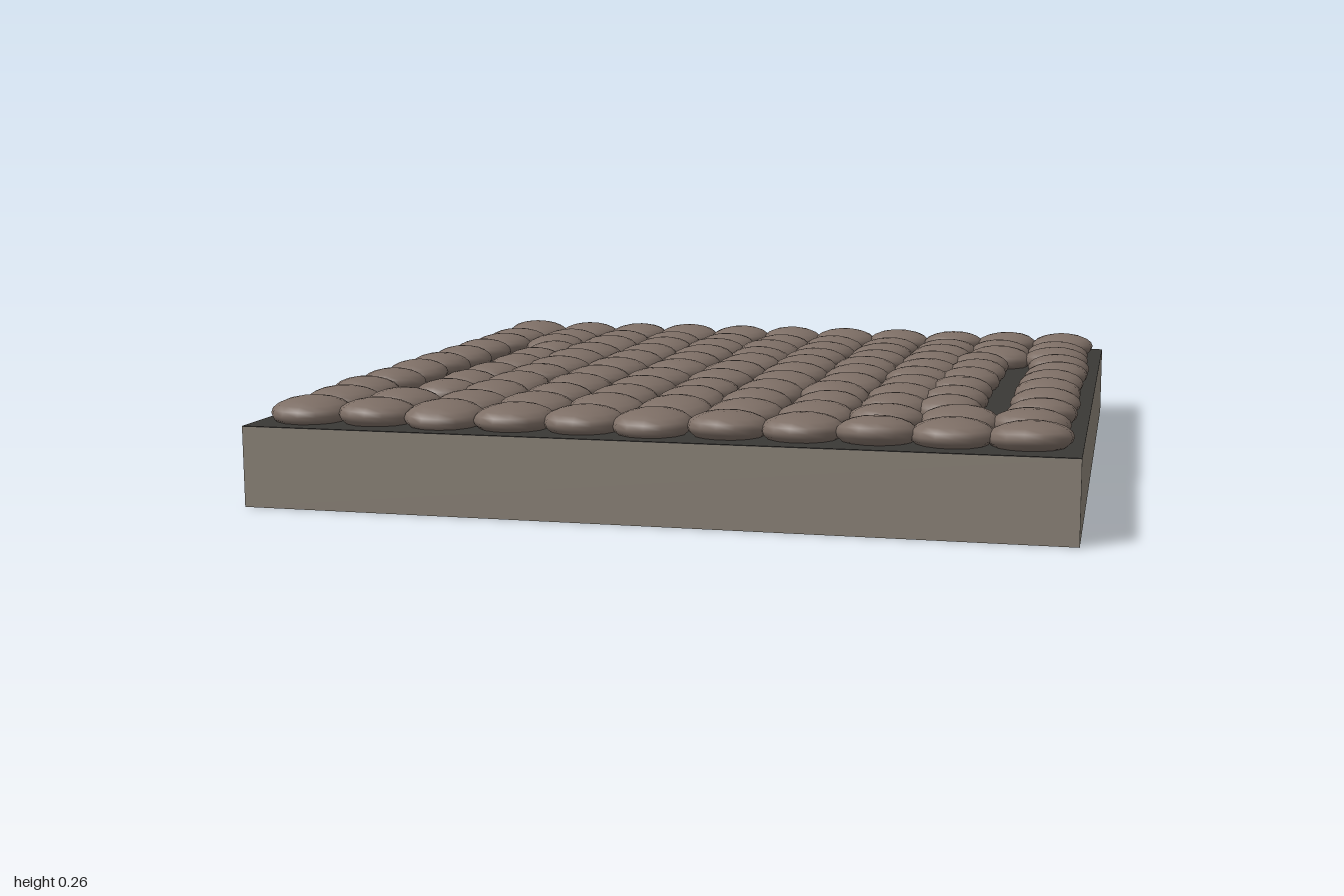
import * as THREE from 'three';

// Small seeded generator for the hand-laid irregularity
function seeded(seed) {
  return () => {
    seed = (seed * 16807) % 2147483647;
    return seed / 2147483647;
  };
}

export function createModel() {
  const model = new THREE.Group();
  model.name = 'cobblestoneTile';
  const random = seeded(41);
  const jitter = (amount) => (random() - 0.5) * 2 * amount;

  const slabMaterial = new THREE.MeshStandardMaterial({ color: 0x8b8378 });
  const mortarMaterial = new THREE.MeshStandardMaterial({ color: 0x3a3835 });
  const stoneMaterial = new THREE.MeshStandardMaterial({ color: 0x7d6e65 });

  // Square base slab
  const slab = new THREE.Mesh(new THREE.BoxGeometry(2, 0.198, 2), slabMaterial);
  slab.name = 'baseSlab';
  slab.position.y = 0.099;
  model.add(slab);

  // Dark mortar bed showing between the stones
  const mortar = new THREE.Mesh(new THREE.BoxGeometry(2, 0.002, 2), mortarMaterial);
  mortar.name = 'mortarBed';
  mortar.position.y = 0.199;
  model.add(mortar);

  // Rows of flattened cobbles: [z centre, radius]
  const rows = [
    [-0.89, 0.098], [-0.67, 0.094], [-0.52, 0.094], [-0.35, 0.093],
    [-0.18, 0.093], [-0.01, 0.093], [0.17, 0.092], [0.345, 0.091],
    [0.515, 0.09], [0.69, 0.096], [0.87, 0.099],
  ];
  const stones = new THREE.Group();
  stones.name = 'cobblestones';
  model.add(stones);
  const stoneGeometry = new THREE.SphereGeometry(1, 14, 10);

  rows.forEach(([z, radius], row) => {
    const isInner = row >= 3 && row <= 8;
    for (let column = -5; column <= 5; column++) {
      const reach = Math.abs(column);
      let x = column * 0.175;
      let size = radius;
      // Inner rows leave a channel between the border stones and the field
      if (isInner && reach === 4) {
        x = Math.sign(column) * 0.66;
        size = 0.085;
      }
      if (isInner && reach === 5) {
        x = Math.sign(column) * 0.885;
        size = 0.088;
      }
      const stone = new THREE.Mesh(stoneGeometry, stoneMaterial);
      stone.name = 'cobble';
      stone.position.set(x + jitter(0.005), 0.22, z + jitter(0.005));
      stone.scale.set(size + jitter(0.002), 0.04, size + jitter(0.002));
      stone.rotation.set(jitter(0.06), random() * Math.PI, jitter(0.06));
      stones.add(stone);
    }
  });

  return model;
}
